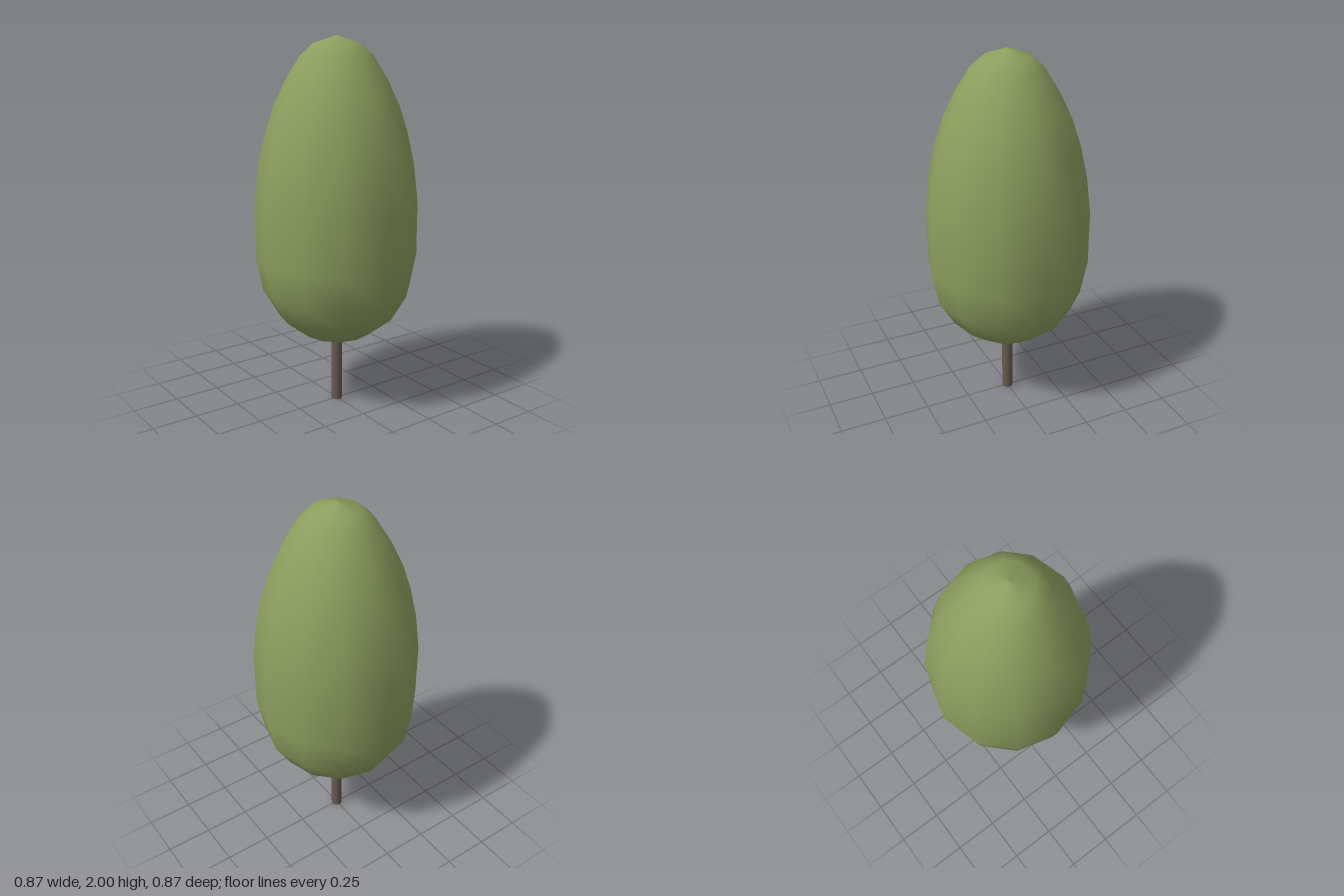
import * as THREE from 'three';

export function createModel() {
  const tree = new THREE.Group();
  tree.name = 'tree';

  // Egg-shaped crown: [radius, height] from the underside to the tip
  const profile = [
    [0, 0.365], [0.183, 0.405], [0.317, 0.51], [0.402, 0.653], [0.437, 0.838],
    [0.437, 1.128], [0.412, 1.335], [0.375, 1.5], [0.328, 1.643], [0.265, 1.775],
    [0.19, 1.896], [0.122, 1.959], [0, 2],
  ].map(([r, y]) => new THREE.Vector2(r, y));
  const crown = new THREE.Mesh(
    new THREE.LatheGeometry(profile, 12),
    new THREE.MeshStandardMaterial({ color: 0x8c9e5e })
  );
  crown.name = 'crown';

  // Thin straight trunk, ending just inside the crown
  const trunkHeight = 0.4;
  const trunk = new THREE.Mesh(
    new THREE.CylinderGeometry(0.03, 0.03, trunkHeight, 12),
    new THREE.MeshStandardMaterial({ color: 0x685a4e })
  );
  trunk.name = 'trunk';
  trunk.position.y = trunkHeight / 2;

  tree.add(crown, trunk);
  return tree;
}
